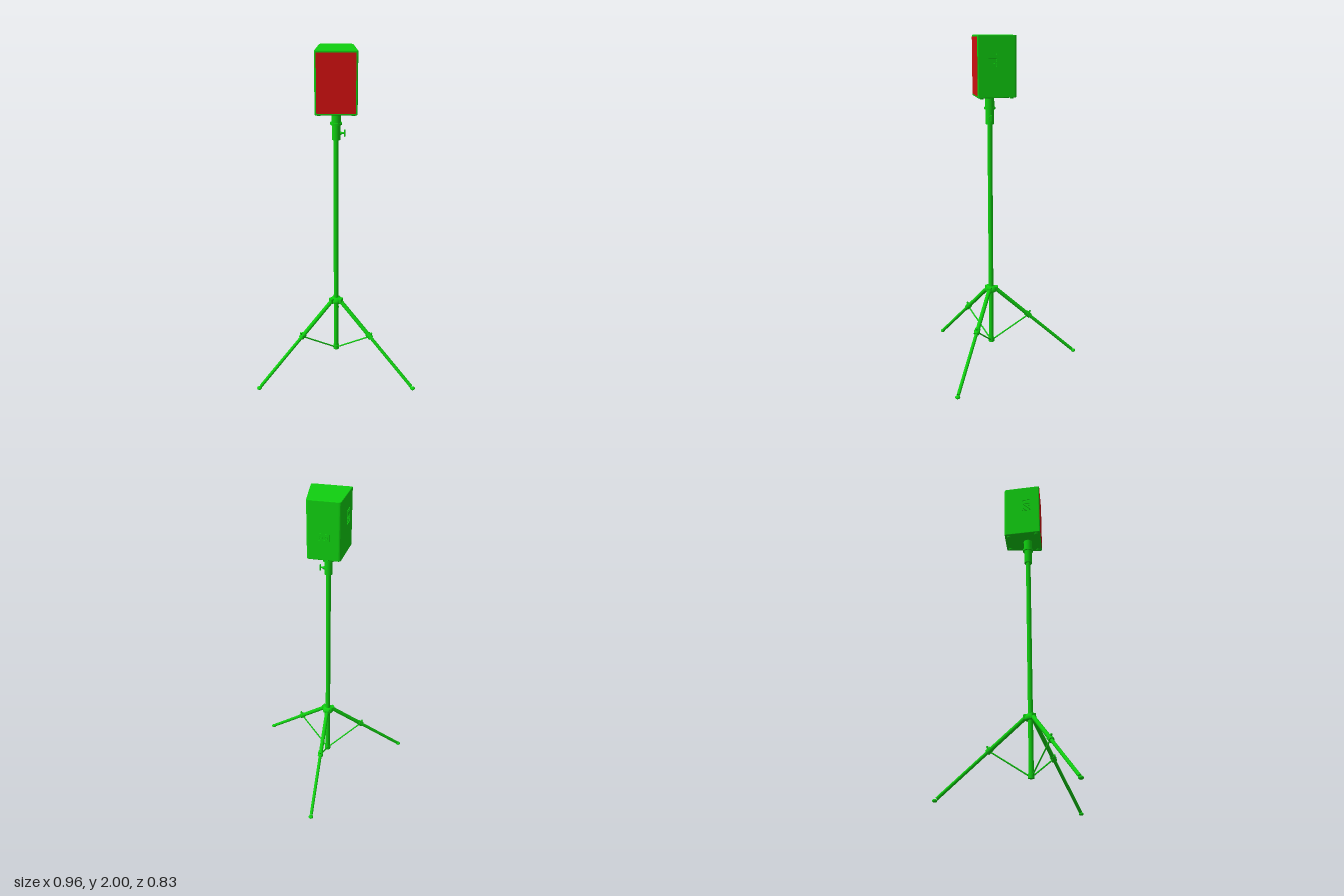
import * as THREE from 'three';
import { RoundedBoxGeometry } from 'three/addons/geometries/RoundedBoxGeometry.js';

const green = new THREE.MeshStandardMaterial({ color: 0x10d010 });
const red = new THREE.MeshStandardMaterial({ color: 0xd01010 });
const POLE_Z = 0.135;

function add(parent, name, geometry, x = 0, y = 0, z = 0, material = green) {
  const mesh = new THREE.Mesh(geometry, material);
  mesh.name = name;
  mesh.position.set(x, y, z);
  parent.add(mesh);
  return mesh;
}

// Round bar between two points
function rod(parent, name, a, b, r, sides = 20) {
  const from = new THREE.Vector3(...a), to = new THREE.Vector3(...b);
  const dir = to.clone().sub(from);
  const mesh = add(parent, name, new THREE.CylinderGeometry(r, r, dir.length(), sides));
  mesh.position.copy(from).add(to).multiplyScalar(0.5);
  mesh.quaternion.setFromUnitVectors(new THREE.Vector3(0, 1, 0), dir.normalize());
  return mesh;
}

// Closed rectangular rim, facing +z
function rim(w, h, t, depth) {
  const rect = (P, a, b) => new P([[-a, -b], [a, -b], [a, b], [-a, b]].map(p => new THREE.Vector2(...p)));
  const shape = rect(THREE.Shape, w / 2, h / 2);
  shape.holes.push(rect(THREE.Path, w / 2 - t, h / 2 - t));
  return new THREE.ExtrudeGeometry(shape, { depth, bevelEnabled: false });
}

// Leg lying in the x = 0 plane, reaching along +z
function makeLeg() {
  const leg = new THREE.Group();
  leg.name = 'leg';
  const at = r => [0, 0.475 - 0.91 * (r - 0.025), r];
  rod(leg, 'upperLegTube', at(0.022), at(0.235), 0.0125);
  rod(leg, 'lowerLegTube', at(0.225), at(0.525), 0.010);
  rod(leg, 'legClamp', at(0.222), at(0.248), 0.0165);
  rod(leg, 'clampBolt', [-0.016, 0.287, 0.237], [0.016, 0.287, 0.237], 0.007, 12);
  rod(leg, 'clampKnob', [0, 0.288, 0.238], [0, 0.309, 0.249], 0.006, 12);
  rod(leg, 'brace', [0, 0.135, 0.012], [0, 0.278, 0.232], 0.0045, 12);
  add(leg, 'legBracket', new RoundedBoxGeometry(0.03, 0.034, 0.034, 2, 0.004), 0, 0.472, 0.026);
  const foot = new THREE.SphereGeometry(0.0145, 20, 12);
  foot.scale(1, 0.7, 1);
  add(leg, 'foot', foot, 0, 0.0102, 0.535);
  return leg;
}

function makeStand() {
  const stand = new THREE.Group();
  stand.name = 'stand';
  stand.position.z = POLE_Z;
  add(stand, 'pole', new THREE.CylinderGeometry(0.0145, 0.0145, 1.4, 28), 0, 0.83, 0);
  add(stand, 'lowerCollar', new THREE.CylinderGeometry(0.018, 0.018, 0.026, 28), 0, 0.134, 0);
  const hub = [[0, 0.455], [0.03, 0.455], [0.034, 0.46], [0.034, 0.474], [0.024, 0.49], [0, 0.492]];
  add(stand, 'legHub', new THREE.LatheGeometry(hub.map(p => new THREE.Vector2(...p)), 28));

  // Stepped sleeve that fits into the cabinet
  for (const [name, r, y0, y1] of [
    ['clampSleeve', 0.024, 1.493, 1.58], ['sleeveRing', 0.033, 1.58, 1.592],
    ['adapterNeck', 0.027, 1.592, 1.66],
  ]) add(stand, name, new THREE.CylinderGeometry(r, r, y1 - y0, 28), 0, (y0 + y1) / 2, 0);

  // Tightening screw with a winged grip
  rod(stand, 'screwBoss', [0.018, 1.53, 0], [0.03, 1.53, 0], 0.010);
  rod(stand, 'screw', [0.02, 1.53, 0], [0.047, 1.53, 0], 0.005);
  add(stand, 'screwGrip', new RoundedBoxGeometry(0.008, 0.04, 0.014, 2, 0.003), 0.048, 1.53, 0);

  // One leg to the rear and two toward the front
  for (const angle of [Math.PI, Math.PI / 3, -Math.PI / 3]) {
    const leg = makeLeg();
    leg.rotation.y = angle;
    stand.add(leg);
  }
  return stand;
}

// Plan of the cabinet: wide at the front, rounded corners
function cabinetPlan() {
  const corners = [[-0.113, -0.215], [0.113, -0.215], [0.091, 0.003], [-0.091, 0.003]]
    .map(p => new THREE.Vector2(...p));
  const radii = [0.003, 0.003, 0.01, 0.01];
  const shape = new THREE.Shape();
  corners.forEach((c, i) => {
    const toward = j => corners[(j + 4) % 4].clone().sub(c).setLength(radii[i]).add(c);
    const a = toward(i - 1), b = toward(i + 1);
    if (i) shape.lineTo(a.x, a.y); else shape.moveTo(a.x, a.y);
    shape.quadraticCurveTo(c.x, c.y, b.x, b.y);
  });
  shape.closePath();
  return shape;
}

function makeSpeaker() {
  const speaker = new THREE.Group();
  speaker.name = 'speaker';
  const body = new THREE.ExtrudeGeometry(cabinetPlan(), {
    depth: 0.34, bevelThickness: 0.004, bevelSize: 0.004, bevelSegments: 3, curveSegments: 6,
  });
  body.rotateX(-Math.PI / 2);
  add(speaker, 'cabinet', body, 0, 1.656, 0);
  add(speaker, 'grille', new THREE.BoxGeometry(0.214, 0.328, 0.006), 0, 1.826, 0.2175, red);

  // Carrying handle on each slanted side
  for (const side of [-1, 1]) {
    const handle = new THREE.Group();
    handle.name = side > 0 ? 'leftHandle' : 'rightHandle';
    handle.position.set(side * 0.109, 1.863, POLE_Z);
    handle.rotation.y = side * (Math.PI / 2 + 0.1);
    add(handle, 'handleRim', rim(0.055, 0.084, 0.005, 0.003));
    add(handle, 'handleGrip', new RoundedBoxGeometry(0.05, 0.022, 0.006, 2, 0.002), 0, 0.018, 0);
    for (let i = 0; i < 4; i++)
      add(handle, 'handleRib', new THREE.BoxGeometry(0.046, 0.004, 0.004), 0, -0.004 - i * 0.009, 0);
    speaker.add(handle);
  }

  // Connector panel on the back
  const panel = new THREE.Group();
  panel.name = 'connectorPanel';
  panel.position.set(0, 1.79, -0.006);
  panel.rotation.y = Math.PI;
  add(panel, 'panelRim', rim(0.07, 0.044, 0.005, 0.003));
  add(panel, 'panelPlate', new THREE.BoxGeometry(0.062, 0.036, 0.003));
  for (const x of [-0.015, 0.015]) {
    const socket = add(panel, 'socket', new THREE.TorusGeometry(0.008, 0.002, 8, 20), x, 0, 0.0015);
    socket.scale.z = 0.7;
  }
  speaker.add(panel);

  // Small pads under the cabinet
  for (const side of [-1, 1])
    for (const [x, z] of [[0.095, 0.195], [0.072, 0.018]])
      add(speaker, 'rubberPad', new THREE.CylinderGeometry(0.012, 0.01, 0.008, 18), side * x, 1.649, z);
  return speaker;
}

export function createModel() {
  const model = new THREE.Group();
  model.name = 'speakerOnTripod';
  model.add(makeStand(), makeSpeaker());
  return model;
}
